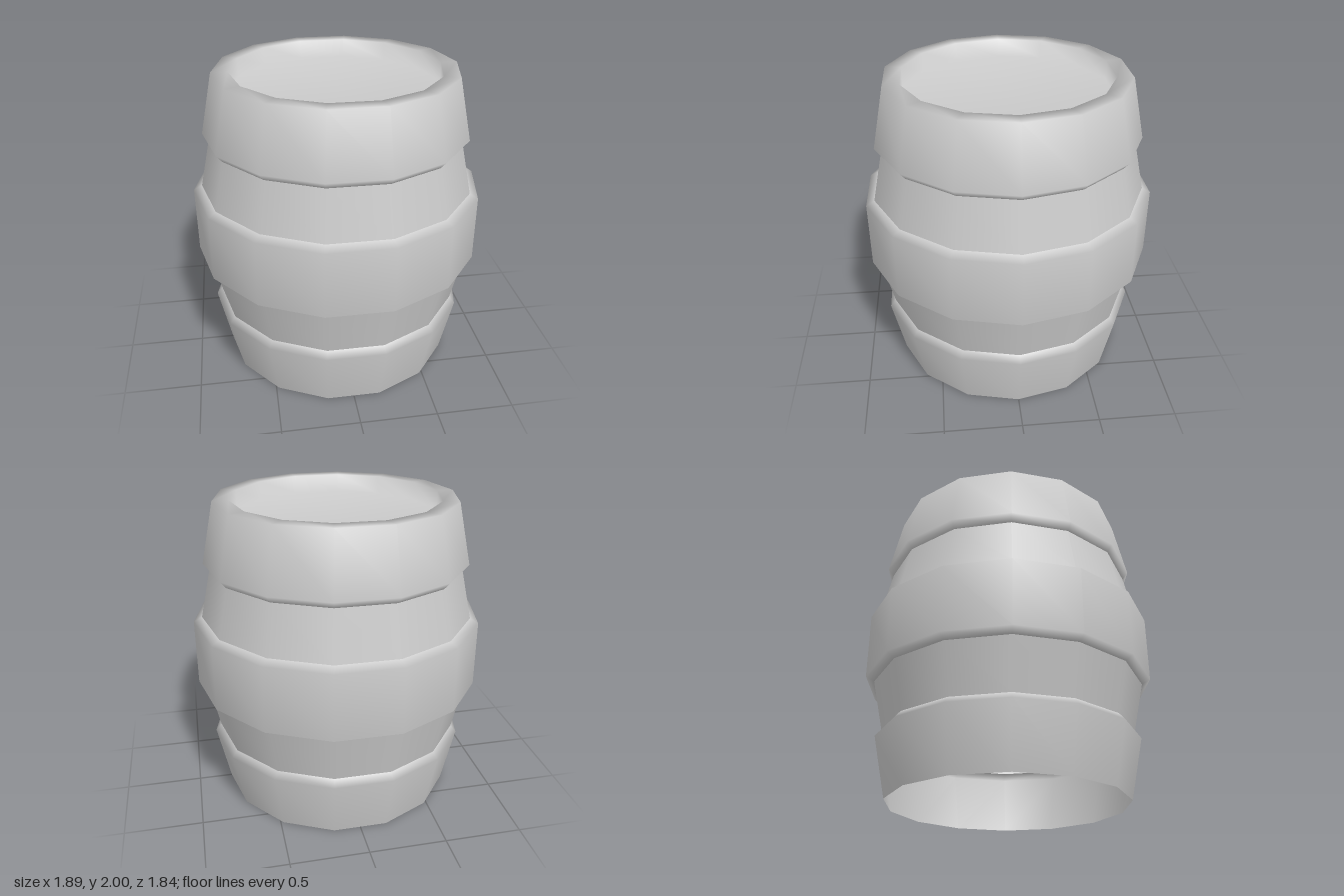
import * as THREE from 'three';

const SIDES = 14;

export function createModel() {
  const barrel = new THREE.Group();
  barrel.name = 'barrel';
  const material = new THREE.MeshStandardMaterial({ color: 0xcccccc, side: THREE.DoubleSide });

  // Turn a [radius, height] profile, listed from bottom to top, into a 14-sided ring
  function addRing(name, profile) {
    const points = profile.map(([r, y]) => new THREE.Vector2(r, y));
    const geometry = new THREE.LatheGeometry(points, SIDES, Math.PI / 2);
    const mesh = new THREE.Mesh(geometry, material);
    mesh.name = name;
    barrel.add(mesh);
  }

  // Flared end band, open underneath
  addRing('lowerBand', [[0.775, 0], [0.858, 0.39], [0.82, 0.435]]);

  // Narrow stave walls on both sides of the middle
  addRing('lowerStaves', [[0.82, 0.435], [0.89, 0.755]]);
  addRing('upperStaves', [[0.89, 1.25], [0.82, 1.565]]);

  // Widest band with chamfered edges
  addRing('middleBand', [[0.89, 0.755], [0.945, 0.785], [0.945, 1.22], [0.89, 1.25]]);

  // Upper end band, running over the flat rim into a shallow recess closed by a lid
  addRing('upperBandAndLid', [
    [0.82, 1.565], [0.858, 1.61], [0.775, 2], [0.67, 2], [0.67, 1.88], [0, 1.88],
  ]);

  return barrel;
}
